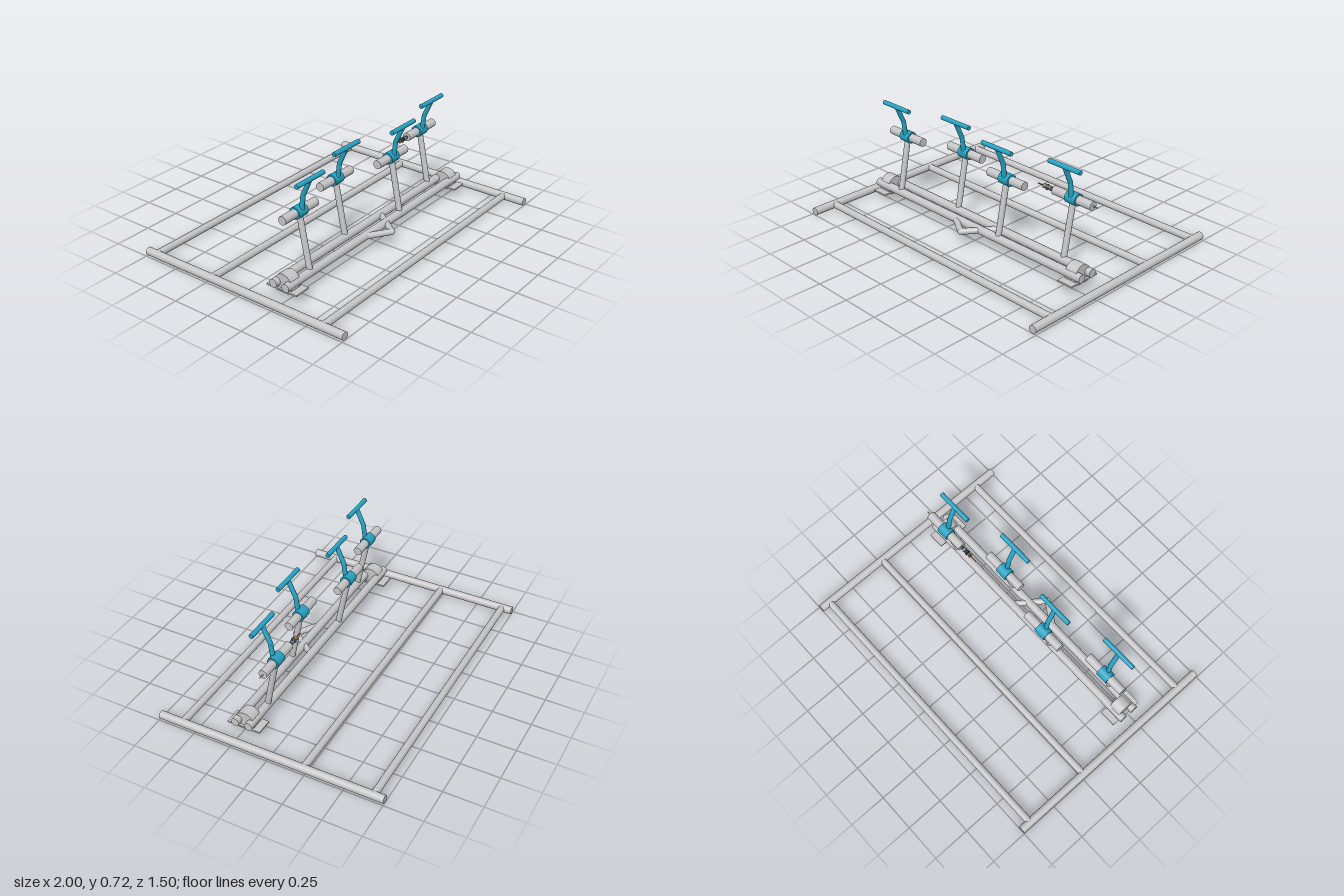
import * as THREE from 'three';

const mat = (name, color) => new THREE.MeshStandardMaterial({ name, color });

export function createModel() {
  const steel = mat('steel', 0xc6c6c8);
  const teal = mat('teal', 0x26a3c4);
  const brown = mat('brown', 0x9a6a3a);
  const dark = mat('dark', 0x2f4350);
  const root = new THREE.Group();
  root.name = 'rowFrame';
  const UP = new THREE.Vector3(0, 1, 0);

  // Round bar between two points, optionally tapered
  function rod(parent, name, a, b, r, material, rEnd = r) {
    const p = new THREE.Vector3(...a), q = new THREE.Vector3(...b);
    const dir = q.clone().sub(p);
    const mesh = new THREE.Mesh(new THREE.CylinderGeometry(rEnd, r, dir.length(), 28), material);
    mesh.position.copy(p).add(q).multiplyScalar(0.5);
    mesh.quaternion.setFromUnitVectors(UP, dir.normalize());
    mesh.name = name;
    parent.add(mesh);
    return mesh;
  }
  function ball(parent, name, p, r, material) {
    const mesh = new THREE.Mesh(new THREE.SphereGeometry(r, 20, 14), material);
    mesh.position.set(...p);
    mesh.name = name;
    parent.add(mesh);
  }
  function box(parent, name, size, p) {
    const mesh = new THREE.Mesh(new THREE.BoxGeometry(...size), steel);
    mesh.position.set(...p);
    mesh.name = name;
    parent.add(mesh);
  }

  // Ground frame
  for (const s of [-1, 1]) rod(root, 'sideRail', [s * 0.975, 0.026, -0.75], [s * 0.975, 0.026, 0.75], 0.026, steel);
  for (const z of [-0.68, -0.23, 0.595]) rod(root, 'crossRail', [-0.97, 0.027, z], [0.97, 0.027, z], 0.023, steel);

  // Pair of long carrier bars
  const barY = 0.106, barZ = { front: 0.27, back: 0.18 };
  for (const z of Object.values(barZ)) rod(root, 'carrierBar', [-0.9, barY, z], [0.9, barY, z], 0.027, steel);

  // End bearings: arched block on a plate and a small foot
  const arch = new THREE.Shape();
  arch.moveTo(0.062, -0.034);
  arch.lineTo(0.062, 0);
  arch.absarc(0, 0, 0.062, 0, Math.PI, false);
  arch.lineTo(-0.062, -0.034);
  const archGeo = new THREE.ExtrudeGeometry(arch, { depth: 0.08, bevelEnabled: false, curveSegments: 24 });
  archGeo.translate(0, 0, -0.04).rotateY(Math.PI / 2);
  for (const s of [-1, 1]) {
    const bearing = new THREE.Group();
    bearing.name = 'endBearing';
    const block = new THREE.Mesh(archGeo, steel);
    block.name = 'archBlock';
    block.position.set(s * 0.825, 0.104, 0.225);
    bearing.add(block);
    box(bearing, 'bearingPlate', [0.11, 0.01, 0.22], [s * 0.825, 0.069, 0.225]);
    box(bearing, 'bearingFoot', [0.09, 0.014, 0.09], [s * 0.825, 0.058, 0.225]);
    root.add(bearing);
  }

  // V-shaped link between the bars
  const tip = [0, barY, 0.368];
  rod(root, 'linkArm', [-0.135, barY, 0.28], tip, 0.02, steel);
  rod(root, 'linkArm', tip, [0.135, barY, 0.19], 0.02, steel);
  ball(root, 'linkJoint', tip, 0.02, steel);

  // Four stations alternating between the bars
  [[-0.675, 'front'], [-0.225, 'back'], [0.225, 'front'], [0.675, 'back']].forEach(([x, row]) => {
    const g = new THREE.Group();
    g.name = 'station';
    g.position.set(x, 0, barZ[row]);
    const hubY = 0.48, hubZ = -0.075;
    rod(g, 'post', [0, barY, 0], [0, hubY, hubZ], 0.019, steel);
    rod(g, 'crossTube', [-0.148, hubY, hubZ], [0.148, hubY, hubZ], 0.028, steel);
    rod(g, 'collar', [-0.04, hubY, hubZ], [0.04, hubY, hubZ], 0.038, teal);
    // Bent stem with a T-shaped top bar
    rod(g, 'lowerStem', [0, 0.48, -0.056], [0, 0.59, -0.043], 0.015, teal);
    ball(g, 'stemBend', [0, 0.59, -0.043], 0.015, teal);
    rod(g, 'upperStem', [0, 0.59, -0.043], [0, 0.703, 0.008], 0.015, teal);
    rod(g, 'topBar', [-0.12, 0.704, 0.008], [0.12, 0.704, 0.008], 0.0145, teal);
    root.add(g);
  });

  // Pointed plunger through the last cross tube
  const plunger = new THREE.Group();
  plunger.name = 'plunger';
  plunger.position.set(0, 0.48, 0.105);
  const along = (name, x0, x1, r, m, r1) => rod(plunger, name, [x0, 0, 0], [x1, 0, 0], r, m, r1);
  along('plungerRod', 0.51, 0.855, 0.004, steel);
  along('needle', 0.395, 0.48, 0.004, brown);
  along('needleCone', 0.445, 0.47, 0.015, brown, 0.004);
  along('collarCone', 0.47, 0.49, 0.018, dark, 0.011);
  along('neck', 0.485, 0.528, 0.01, dark);
  along('neckRing', 0.495, 0.503, 0.015, steel);
  root.add(plunger);

  return root;
}
